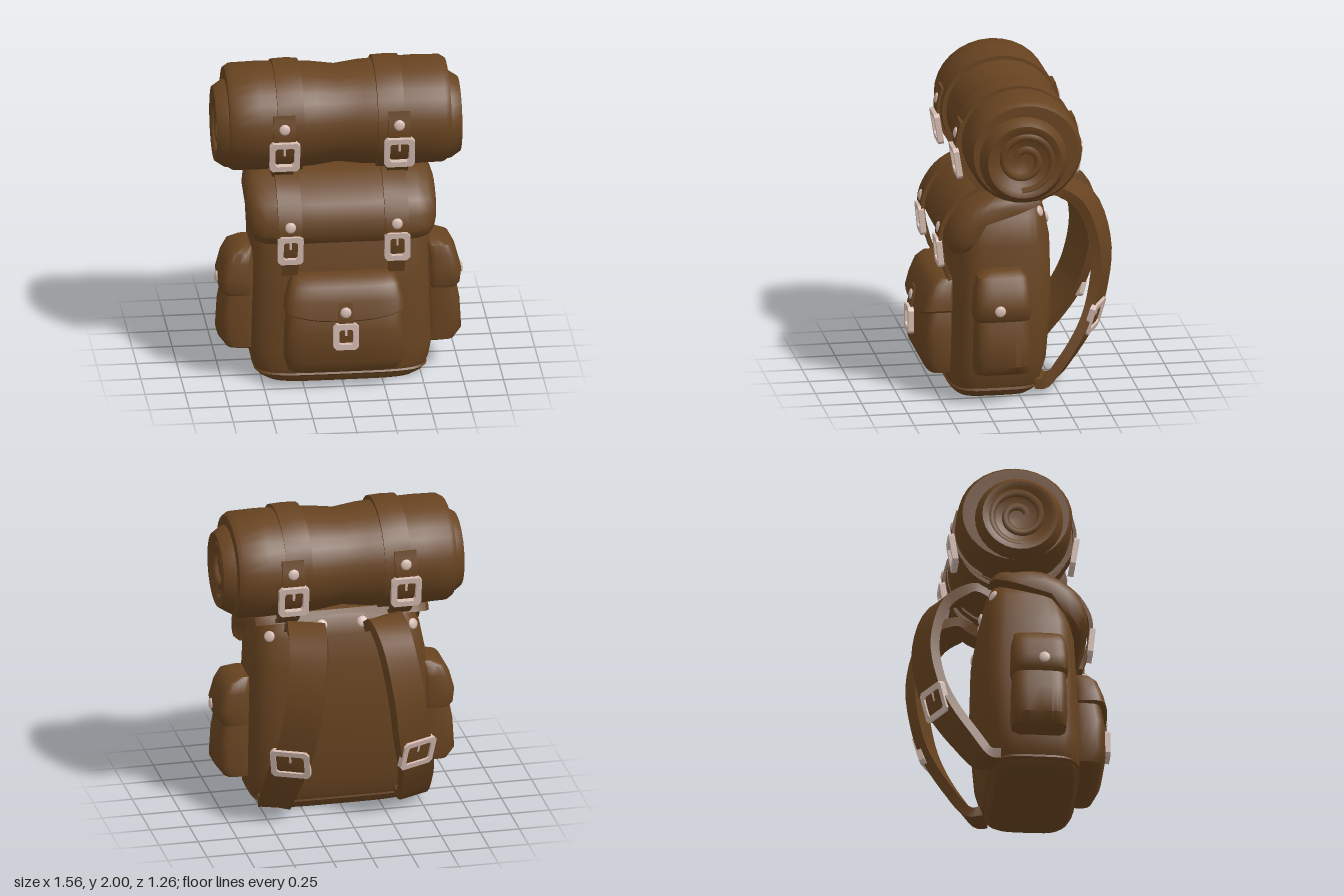
import * as THREE from 'three';
import { toCreasedNormals } from 'three/addons/utils/BufferGeometryUtils.js';

const V = (x, y, z) => new THREE.Vector3(x, y, z);

// Closed solid through a series of rings, turned outward by its signed volume
function loft(rings, crease = 0.7) {
  const n = rings[0].length, pos = [], idx = [];
  rings.forEach(r => r.forEach(p => pos.push(p.x, p.y, p.z)));
  for (let i = 0; i < rings.length - 1; i++)
    for (let j = 0; j < n; j++) {
      const a = i * n + j, b = i * n + (j + 1) % n;
      idx.push(a, b, a + n, b, b + n, a + n);
    }
  [0, rings.length - 1].forEach((r, end) => {
    const c = V(0, 0, 0);
    rings[r].forEach(p => c.addScaledVector(p, 1 / n));
    const k = pos.length / 3;
    pos.push(c.x, c.y, c.z);
    for (let j = 0; j < n; j++) {
      const a = r * n + j, b = r * n + (j + 1) % n;
      if (end) idx.push(a, b, k); else idx.push(b, a, k);
    }
  });
  const at = i => V(pos[3 * i], pos[3 * i + 1], pos[3 * i + 2]);
  let vol = 0;
  for (let i = 0; i < idx.length; i += 3) vol += at(idx[i]).dot(at(idx[i + 1]).cross(at(idx[i + 2])));
  if (vol < 0) idx.reverse();
  const g = new THREE.BufferGeometry();
  g.setAttribute('position', new THREE.Float32BufferAttribute(pos, 3));
  g.setIndex(idx);
  return toCreasedNormals(g, crease);
}

// Rounded-rectangle levels [y, xMin, xMax, zMin, zMax]; bow lifts the sides of the lowest levels
function padded(levels, power = 4, bow = 0) {
  const e = 2 / power, f = v => Math.sign(v) * Math.abs(v) ** e;
  return loft(levels.map(([y, x0, x1, z0, z1], i) => Array.from({ length: 36 }, (_, k) => {
    const a = k / 36 * Math.PI * 2;
    const x = (x0 + x1) / 2 + (x1 - x0) / 2 * f(Math.cos(a));
    return V(x, y + (i < 2 ? bow * x * x : 0), (z0 + z1) / 2 + (z1 - z0) / 2 * f(Math.sin(a)));
  })));
}

// Flat strap along a smooth path; across is its width direction, endWidth lets it taper
function strap(points, width, thick, { across = V(1, 0, 0), steps = 24, endWidth = width } = {}) {
  const curve = new THREE.CatmullRomCurve3(points);
  const rings = [];
  for (let i = 0; i <= steps; i++) {
    const p = curve.getPoint(i / steps), t = curve.getTangent(i / steps);
    const w = across.clone().addScaledVector(t, -across.dot(t)).normalize();
    const n = t.clone().cross(w);
    const half = THREE.MathUtils.lerp(width, endWidth, THREE.MathUtils.smoothstep(i / steps, 0.6, 1)) / 2;
    rings.push([[-1, -1], [1, -1], [1, 1], [-1, 1]].map(([a, b]) =>
      p.clone().addScaledVector(w, a * half).addScaledVector(n, b * thick / 2)));
  }
  return loft(rings);
}

// Solid turned around the x axis from [radius, x] points
function turned(profile, zScale = 1) {
  const g = new THREE.LatheGeometry(profile.map(p => new THREE.Vector2(...p)), 32);
  return toCreasedNormals(g.rotateZ(-Math.PI / 2).scale(1, 1, zScale), 0.65);
}

function rectPath(path, w, h, c) {
  path.moveTo(-w + c, -h); path.lineTo(w - c, -h); path.lineTo(w, -h + c); path.lineTo(w, h - c);
  path.lineTo(w - c, h); path.lineTo(-w + c, h); path.lineTo(-w, h - c); path.lineTo(-w, -h + c);
  path.closePath();
  return path;
}

export function createModel() {
  const leather = new THREE.MeshStandardMaterial({ color: 0x674320 });
  leather.name = 'brown leather';
  const metal = new THREE.MeshStandardMaterial({ color: 0xd3bab0 });
  metal.name = 'pale metal';
  const model = new THREE.Group();
  model.name = 'backpack';

  const add = (name, geo, mat = leather, parent = model) => {
    const m = new THREE.Mesh(geo, mat);
    m.name = name;
    parent.add(m);
    return m;
  };
  const face = (o, p, normal) => { o.position.copy(p); o.lookAt(p.clone().add(normal)); };
  const rivetGeo = new THREE.SphereGeometry(0.035, 14, 8).scale(1, 1, 0.4);
  const rivet = (p, normal) => face(add('rivet', rivetGeo, metal), p, normal);
  const buckle = (p, normal, w, h, bar = 0.035) => {
    const g = new THREE.Group();
    g.name = 'buckle';
    const s = rectPath(new THREE.Shape(), w / 2, h / 2, 0.02);
    s.holes.push(rectPath(new THREE.Path(), w / 2 - bar, h / 2 - bar, 0.012));
    add('buckleFrame', new THREE.ExtrudeGeometry(s, { depth: 0.036, bevelEnabled: false }).translate(0, 0, -0.018), metal, g);
    add('bucklePin', new THREE.BoxGeometry(0.014, h * 0.4, 0.016).translate(0, h * 0.24, 0), metal, g);
    model.add(g);
    face(g, p, normal);
  };

  // Main bag
  add('bagBody', padded([
    [0, -0.47, 0.47, -0.1, 0.39], [0.03, -0.52, 0.52, -0.13, 0.415], [0.1, -0.555, 0.555, -0.16, 0.425],
    [0.22, -0.58, 0.58, -0.195, 0.425], [0.6, -0.57, 0.57, -0.23, 0.41], [1.0, -0.555, 0.555, -0.22, 0.385],
    [1.18, -0.52, 0.52, -0.185, 0.32], [1.26, -0.46, 0.46, -0.16, 0.24], [1.3, -0.36, 0.36, -0.13, 0.16]], 4.6));
  add('basePiping', padded([[0.04, -0.525, 0.525, -0.13, 0.415], [0.055, -0.545, 0.545, -0.148, 0.428],
    [0.072, -0.54, 0.54, -0.145, 0.415]], 4.6));

  // Lid draped over the top and front, narrowing and falling back at both sides
  const lidProfile = [[0.38, 0.95], [0.43, 0.94], [0.475, 1.0], [0.47, 1.1], [0.42, 1.2], [0.32, 1.285], [0.18, 1.345],
    [0.02, 1.36], [-0.12, 1.33], [-0.15, 1.28], [0.05, 1.22], [0.25, 1.16], [0.34, 1.06]];
  const lidSections = [[0.595, 0.5], [0.58, 0.7], [0.545, 0.89], [0.48, 0.97], [0.36, 1], [0.15, 0.98]];
  add('lid', loft([...lidSections.map(([x, s]) => [-x, s]), ...lidSections.reverse()].map(([x, s]) =>
    lidProfile.map(([z, y]) => V(x, 1.15 + (y - 1.15) * s, 0.26 + (z - 0.26) * s - 0.08 * x * x)))));

  // Front pocket with flap
  add('frontPocket', padded([[0.1, -0.27, 0.27, 0.35, 0.5], [0.125, -0.35, 0.35, 0.35, 0.55],
    [0.2, -0.375, 0.375, 0.35, 0.59], [0.4, -0.37, 0.37, 0.35, 0.59], [0.65, -0.34, 0.34, 0.35, 0.54],
    [0.71, -0.3, 0.3, 0.35, 0.5]], 4.5));
  add('frontPocketFlap', padded([[0.47, -0.36, 0.36, 0.36, 0.59], [0.48, -0.375, 0.375, 0.36, 0.602],
    [0.6, -0.37, 0.37, 0.36, 0.58], [0.69, -0.345, 0.345, 0.36, 0.545], [0.73, -0.32, 0.32, 0.36, 0.5],
    [0.742, -0.28, 0.28, 0.36, 0.45]], 4.5, 0.4));
  add('frontPocketTab', strap([V(0, 0.6, 0.585), V(0, 0.48, 0.606), V(0, 0.34, 0.597)], 0.09, 0.012, { steps: 8 }));
  buckle(V(0, 0.385, 0.615), V(0, 0, 1), 0.16, 0.17);
  rivet(V(0, 0.54, 0.604), V(0, 0.1, 1));

  for (const s of [-1, 1]) {
    const side = (name, levels) => add(name, padded(levels.map(([y, a, b, c, d]) =>
      [y, Math.min(s * a, s * b), Math.max(s * a, s * b), c, d])));
    // Side pockets with flaps
    side('sidePocket', [[0.19, 0.52, 0.64, 0.02, 0.27], [0.21, 0.52, 0.72, -0.03, 0.31], [0.27, 0.52, 0.765, -0.04, 0.315],
      [0.45, 0.52, 0.755, -0.035, 0.31], [0.7, 0.52, 0.71, -0.02, 0.3], [0.8, 0.52, 0.67, -0.01, 0.28]]);
    side('sidePocketFlap', [[0.56, 0.54, 0.735, -0.035, 0.31], [0.58, 0.54, 0.755, -0.04, 0.32], [0.66, 0.54, 0.765, -0.04, 0.32],
      [0.77, 0.54, 0.735, -0.035, 0.31], [0.835, 0.54, 0.7, -0.02, 0.29], [0.865, 0.54, 0.63, 0.01, 0.24]]);
    rivet(V(s * 0.766, 0.64, 0.165), V(s, 0.05, 0));

    // Lid straps
    const lx = s * 0.335;
    add('lidStrap', strap([V(lx, 1.36, 0.08), V(lx, 1.335, 0.24), V(lx, 1.25, 0.38), V(lx, 1.1, 0.472),
      V(lx, 0.98, 0.482), V(lx, 0.85, 0.455), V(lx, 0.74, 0.42)], 0.15, 0.025, { endWidth: 0.1 }));
    buckle(V(lx, 0.93, 0.487), V(0, -0.1, 1), 0.16, 0.19);
    rivet(V(lx, 1.08, 0.488), V(0, 0.15, 1));

    // Straps around the bedroll, with buckled tongues at front and back
    const rx = s * 0.36;
    const band = [[0.28, -0.083], [0.348, -0.083], [0.352, 0], [0.348, 0.083], [0.28, 0.083]];
    add('bedrollStrap', turned(band, 1.06)).position.set(s * 0.315, 1.648, 0);
    for (const f of [1, -1]) {
      const tongue = [22, 0, -20, -40, -58].map(d => {
        const a = d * Math.PI / 180;
        return V(rx, 1.648 + 0.358 * Math.sin(a), f * 0.38 * Math.cos(a));
      });
      add('bedrollStrapTongue', strap(tongue, 0.14, 0.02));
      buckle(V(rx, 1.52, f * 0.38), V(0, -0.16, f), 0.19, 0.2);
      rivet(V(rx, 1.7, f * 0.382), V(0, 0.12, f));
      add('bedrollTie', strap([V(rx, 1.44, f * 0.31), V(rx, 1.36, f * 0.25), V(rx, 1.3, f * 0.16), V(rx, 1.27, f * 0.08)],
        0.13, 0.025, { steps: 10 }));
    }

    // Shoulder straps, turned outward and spreading toward the base
    const across = V(Math.cos(0.45), 0, s * Math.sin(0.45));
    add('shoulderStrap', strap([V(s * 0.25, 1.23, -0.15), V(s * 0.255, 1.28, -0.28), V(s * 0.275, 1.19, -0.45),
      V(s * 0.32, 0.9, -0.545), V(s * 0.365, 0.6, -0.51), V(s * 0.405, 0.42, -0.44), V(s * 0.435, 0.22, -0.31),
      V(s * 0.44, 0.085, -0.19), V(s * 0.43, 0.08, -0.1)], 0.235, 0.065, { across, steps: 36, endWidth: 0.19 }));
    buckle(V(s * 0.405, 0.47, -0.49), V(s * 0.43, -0.3, -0.9), 0.25, 0.2);

    // Back rivets
    rivet(V(s * 0.13, 1.25, -0.165), V(0, 0.5, -1));
    rivet(V(s * 0.3, 1.1, -0.2), V(0, 0.15, -1));
    rivet(V(s * 0.46, 1.19, -0.135), V(s * 0.6, 0.4, -1));

    // Inner layers of the bedroll, sagging slightly and coiled at the ends
    const core = turned([[0, -0.06], [0.285, -0.06], [0.275, 0.04], [0.235, 0.1], [0.2, 0.095], [0.16, 0.065], [0, 0.05]]);
    if (s < 0) core.rotateY(Math.PI);
    add('bedrollCore', core).position.set(s * 0.67, 1.61, 0.01);
    const coil = Array.from({ length: 30 }, (_, i) => {
      const a = i / 29 * Math.PI * 3.4 + 0.4, r = 0.05 + 0.15 * i / 29;
      return V(s * (0.745 - 0.02 * (1 - i / 29)), 1.615 + r * Math.sin(a), 0.01 + r * Math.cos(a));
    });
    add('bedrollCoil', new THREE.TubeGeometry(new THREE.CatmullRomCurve3(coil), 70, 0.025, 6));
  }

  // Bedroll, slightly pinched in the middle
  const half = [[0, 0.68], [0.25, 0.695], [0.31, 0.695], [0.332, 0.66], [0.336, 0.5], [0.332, 0.35], [0.322, 0.15], [0.302, 0]];
  const rollProfile = [...half.map(([r, x]) => [r, -x]), ...half.slice(0, -1).reverse()];
  add('bedroll', turned(rollProfile, 1.08)).position.set(0, 1.645, -0.01);

  return model;
}
